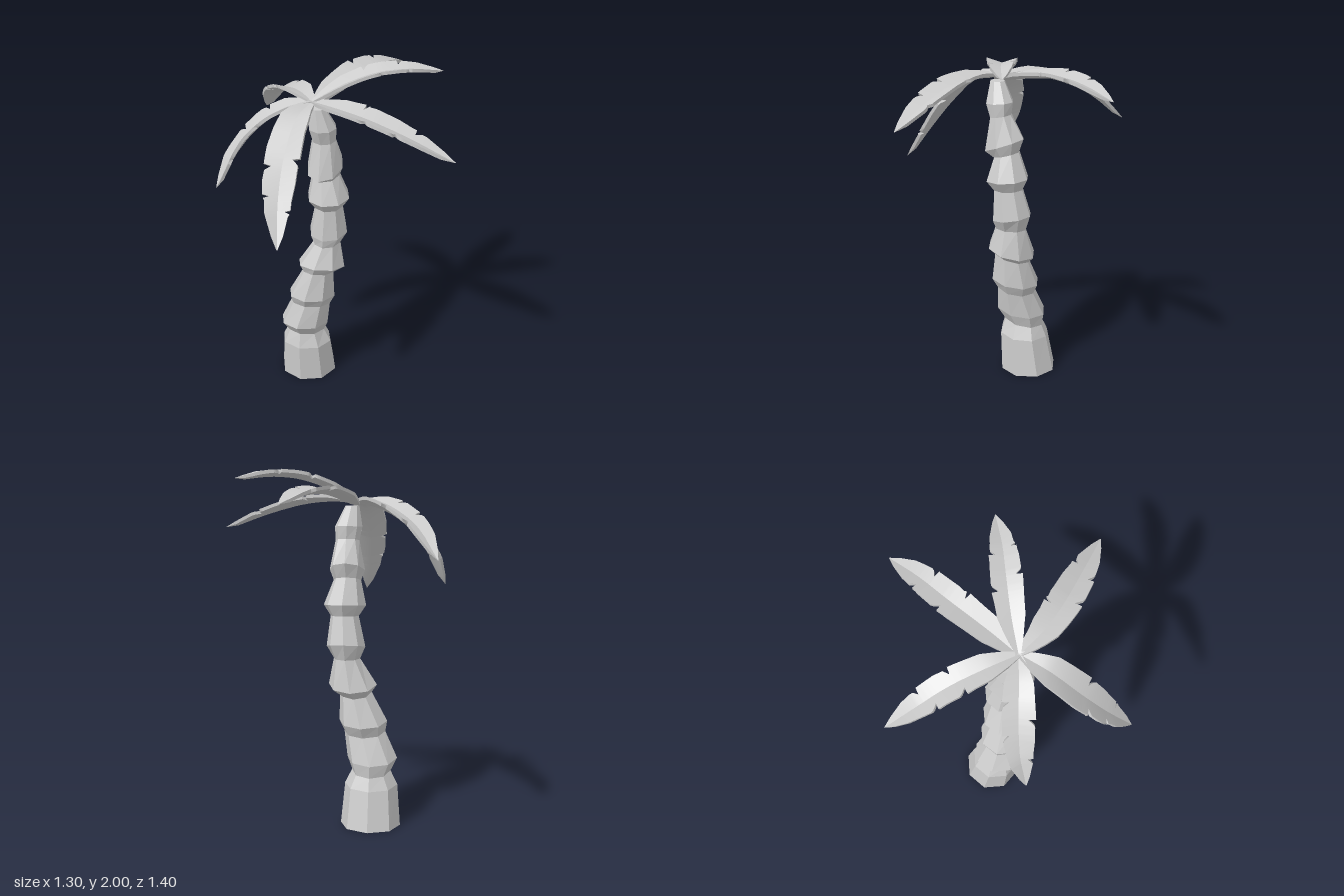
import * as THREE from 'three';
import { mergeGeometries } from 'three/addons/utils/BufferGeometryUtils.js';

// Surface through rows of points; columns run left to right when rows run upward
function patch(rows) {
  const n = rows[0].length, index = [];
  for (let r = 0; r < rows.length - 1; r++) {
    for (let c = 0; c < n - 1; c++) {
      const a = r * n + c, b = a + n;
      index.push(a, a + 1, b + 1, a, b + 1, b);
    }
  }
  const geo = new THREE.BufferGeometry().setFromPoints(rows.flat());
  geo.setIndex(index);
  geo.computeVertexNormals();
  return geo;
}

// Trunk rings: xMin, xMax, zBack, zFront, mean y, forward tilt
const RINGS = [
  [-0.43, -0.09, -0.23, 0.105, 0, 0],
  [-0.41, -0.11, -0.18, 0.115, 0.23, 0.01],
  [-0.37, -0.15, -0.15, 0.09, 0.31, 0.02],
  [-0.405, -0.12, -0.16, 0.14, 0.38, 0.02],
  [-0.335, -0.10, -0.11, 0.115, 0.53, 0.02],
  [-0.345, -0.07, -0.14, 0.15, 0.59, 0.02],
  [-0.255, -0.075, -0.10, 0.115, 0.755, 0.025],
  [-0.285, -0.01, -0.14, 0.14, 0.80, 0.03],
  [-0.19, -0.04, -0.105, 0.085, 0.95, 0],
  [-0.22, 0, -0.135, 0.095, 1.02, -0.02],
  [-0.18, -0.02, -0.09, 0.085, 1.19, -0.005],
  [-0.22, 0.02, -0.12, 0.13, 1.25, -0.01],
  [-0.19, -0.035, -0.06, 0.09, 1.39, -0.02],
  [-0.21, -0.01, -0.09, 0.15, 1.445, -0.045],
  [-0.175, -0.04, -0.01, 0.11, 1.61, -0.01],
  [-0.19, -0.035, -0.02, 0.14, 1.685, -0.005],
  [-0.17, -0.09, 0.04, 0.125, 1.80, 0],
];

function trunkGeometry() {
  const rows = RINGS.map(([x0, x1, z0, z1, y, tilt]) => {
    const ring = [];
    for (let i = 0; i <= 8; i++) {
      const a = -i * Math.PI / 4;
      ring.push(new THREE.Vector3(
        (x0 + x1) / 2 + (x1 - x0) / 2 * Math.cos(a),
        y + tilt * Math.sin(a),
        (z0 + z1) / 2 + (z1 - z0) / 2 * Math.sin(a)));
    }
    return ring;
  });
  // close both ends
  const cap = ([x0, x1, z0, z1, y]) =>
    Array.from({ length: 9 }, () => new THREE.Vector3((x0 + x1) / 2, y, (z0 + z1) / 2));
  return patch([cap(RINGS[0]), ...rows, cap(RINGS[RINGS.length - 1])]);
}

// Half width along a frond: [t, width]
const WIDTH = [[0, 0.015], [0.1, 0.045], [0.25, 0.08], [0.45, 0.092], [0.65, 0.085], [0.82, 0.062], [0.93, 0.03], [1, 0.002]];
function halfWidth(t) {
  const i = Math.max(1, WIDTH.findIndex(([k]) => k >= t));
  const [t0, w0] = WIDTH[i - 1], [t1, w1] = WIDTH[i];
  return THREE.MathUtils.lerp(w0, w1, (t - t0) / (t1 - t0));
}

// Folded leaf blade with torn edges
function frondGeometry({ path, left, right, scale = 1 }) {
  const curve = new THREE.CatmullRomCurve3(path.map(p => new THREE.Vector3(...p)));
  const up = new THREE.Vector3(0, 1, 0);
  const stations = WIDTH.map(([t]) => ({ t, l: 1, r: 1 }));
  for (const t of [0.17, 0.35, 0.55, 0.74]) stations.push({ t, l: 1, r: 1 });
  const tear = (t, key) => {
    [[0, 1.04], [0.006, 0.58], [0.035, 0.93]].forEach(([d, f]) =>
      stations.push({ t: t + d, l: 1, r: 1, [key]: f }));
  };
  left.forEach(t => tear(t, 'l'));
  right.forEach(t => tear(t, 'r'));
  stations.sort((a, b) => a.t - b.t);

  // section order: top left, midrib, top right, lower right, lower mid, lower left
  const sections = stations.map(({ t, l, r }) => {
    const p = curve.getPoint(t), tan = curve.getTangent(t);
    const side = tan.clone().cross(up).normalize();
    const normal = side.clone().cross(tan).normalize();
    const w = halfWidth(t) * scale;
    const thick = 0.018 * Math.min(1, w / 0.03);
    const at = (s, drop) => p.clone().addScaledVector(side, s * w)
      .addScaledVector(normal, Math.abs(s) * w * 0.32 - drop);
    return [at(-l, 0), at(0, 0), at(r, 0), at(r, thick), at(0, thick), at(-l, thick)];
  });
  const strip = (...cols) => patch(sections.map(s => cols.map(c => s[c])));
  return mergeGeometries([strip(0, 1), strip(1, 2), strip(2, 3), strip(3, 4, 5), strip(5, 0)]);
}

const FRONDS = [
  { name: 'backFrond', left: [0.5, 0.7], right: [0.43, 0.65], scale: 0.9,
    path: [[-0.16, 1.81, 0.08], [-0.10, 1.85, -0.09], [-0.02, 1.885, -0.33], [0.06, 1.87, -0.52], [0.13, 1.82, -0.70]] },
  { name: 'backLeftFrond', left: [0.4, 0.66], right: [0.5, 0.72], scale: 0.85,
    path: [[-0.16, 1.83, 0.075], [-0.015, 1.91, -0.01], [0.15, 1.965, -0.09], [0.30, 1.975, -0.16], [0.46, 1.95, -0.25]] },
  { name: 'leftFrond', left: [0.42, 0.76], right: [0.5, 0.68], scale: 0.95,
    path: [[-0.16, 1.83, 0.08], [0, 1.84, 0.16], [0.18, 1.82, 0.205], [0.40, 1.76, 0.235], [0.645, 1.67, 0.26]] },
  { name: 'frontFrond', left: [0.5, 0.8], right: [0.55, 0.72],
    path: [[-0.16, 1.83, 0.08], [-0.19, 1.80, 0.25], [-0.20, 1.65, 0.42], [-0.185, 1.48, 0.56], [-0.145, 1.28, 0.70]] },
  { name: 'rightFrond', left: [0.5, 0.78], right: [0.38, 0.6], scale: 0.9,
    path: [[-0.16, 1.83, 0.075], [-0.29, 1.80, 0.12], [-0.43, 1.71, 0.165], [-0.56, 1.55, 0.215], [-0.65, 1.35, 0.28]] },
  { name: 'backRightFrond', left: [0.4, 0.6], right: [0.45, 0.68], scale: 0.9,
    path: [[-0.16, 1.83, 0.08], [-0.28, 1.83, -0.05], [-0.41, 1.78, -0.20], [-0.53, 1.69, -0.33], [-0.635, 1.54, -0.47]] },
];

export function createModel() {
  const model = new THREE.Group();
  model.name = 'palmTree';

  const trunk = new THREE.Mesh(trunkGeometry(),
    new THREE.MeshStandardMaterial({ color: 0xcccccc, flatShading: true }));
  trunk.name = 'trunk';
  model.add(trunk);

  const crown = new THREE.Group();
  crown.name = 'crown';
  const leafMaterial = new THREE.MeshStandardMaterial({ color: 0xcccccc });
  for (const spec of FRONDS) {
    const frond = new THREE.Mesh(frondGeometry(spec), leafMaterial);
    frond.name = spec.name;
    crown.add(frond);
  }
  model.add(crown);
  return model;
}
